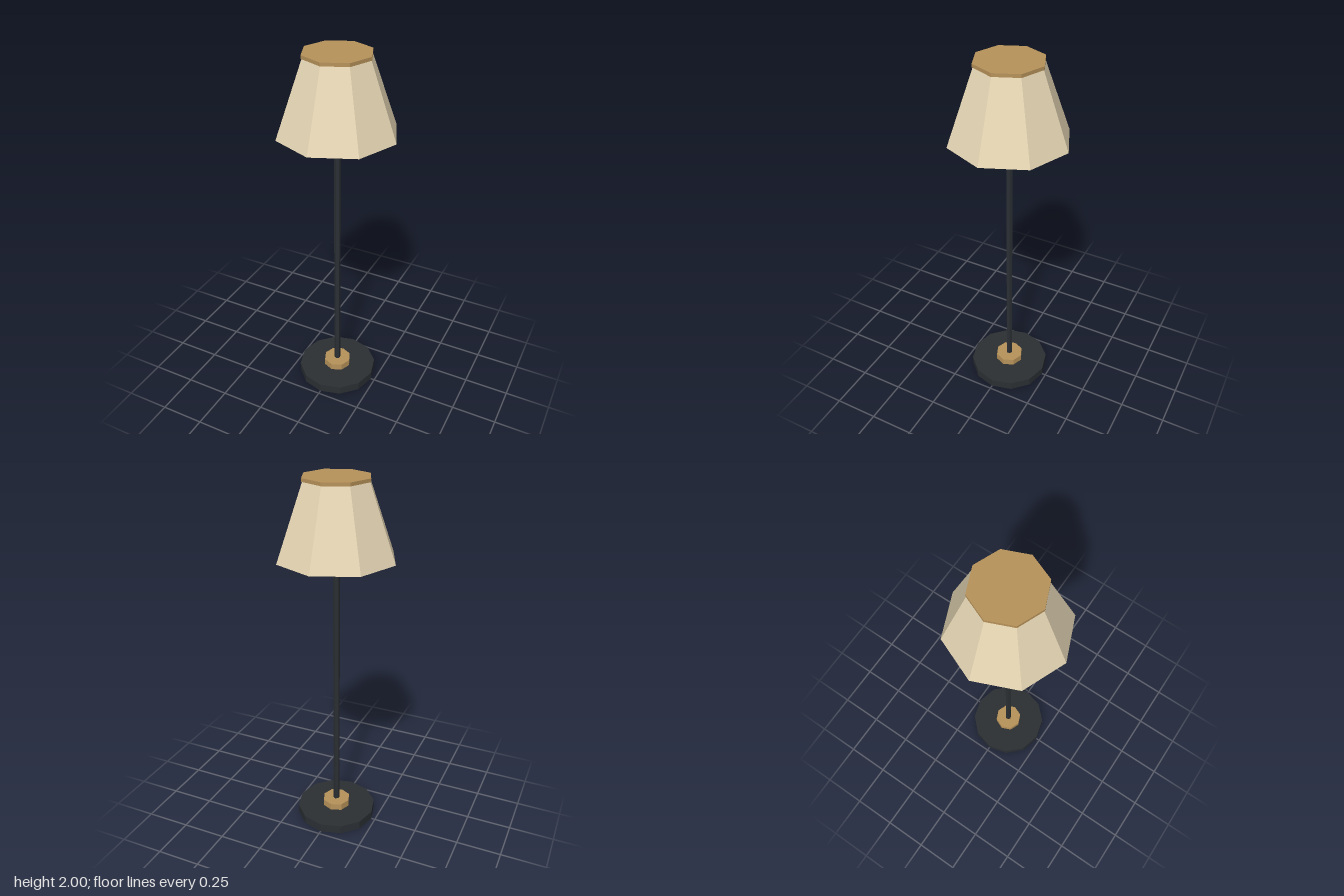
import * as THREE from 'three';

const paint = (color) => new THREE.MeshStandardMaterial({ color, flatShading: true });

export function createModel() {
  const lamp = new THREE.Group();
  lamp.name = 'floorLamp';
  const iron = paint(0x2b2f33);
  const brass = paint(0xb8935a);
  const fabric = paint(0xe6d6b4);

  // Faceted upright section between two heights
  const section = (name, rTop, rBottom, y0, y1, sides, material) => {
    const geometry = new THREE.CylinderGeometry(rTop, rBottom, y1 - y0, sides);
    geometry.translate(0, (y0 + y1) / 2, 0);
    const mesh = new THREE.Mesh(geometry, material);
    mesh.name = name;
    lamp.add(mesh);
  };

  // Foot and stem
  section('base', 0.228, 0.228, 0, 0.05, 12, iron);
  section('baseCollar', 0.08, 0.08, 0.05, 0.09, 8, brass);
  section('pole', 0.018, 0.018, 0.09, 1.56, 6, iron);
  section('socket', 0.035, 0.035, 1.56, 1.6, 8, brass);

  // Closed shade with its top cap
  section('shade', 0.175, 0.32, 1.588, 1.985, 8, fabric);
  section('shadeCap', 0.18, 0.18, 1.982, 2, 8, brass);

  return lamp;
}
